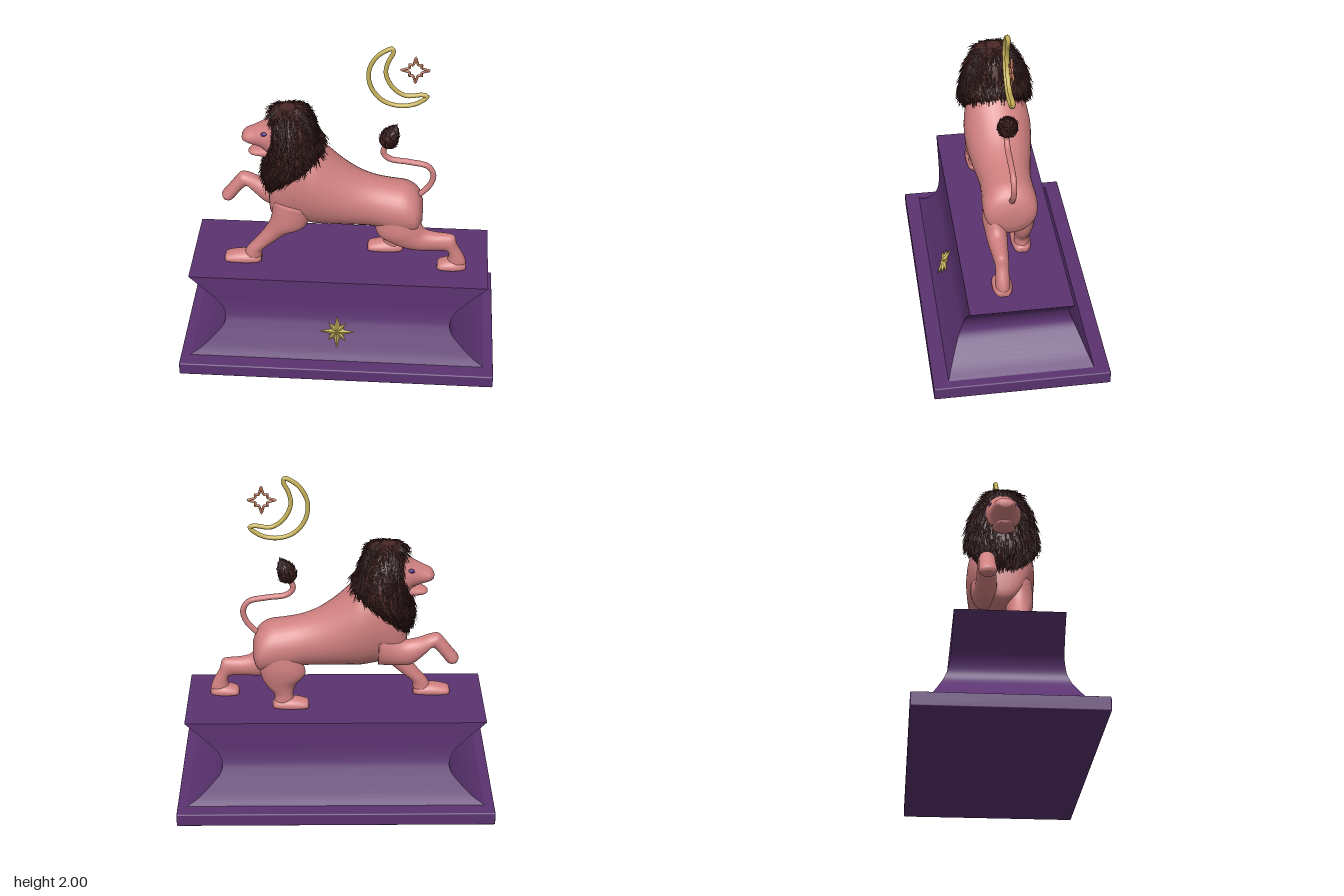
import * as THREE from 'three';
import { mergeGeometries } from 'three/addons/utils/BufferGeometryUtils.js';
import { RoundedBoxGeometry } from 'three/addons/geometries/RoundedBoxGeometry.js';

const material = (name, color) => {
  const m = new THREE.MeshStandardMaterial({ color });
  m.name = name;
  return m;
};
const FLOOR = 0.57; // top of the pedestal

// Surface through rings. Station: [ax, ay, bx, by, z, w], where A and B are the
// two outline points in the side profile, z the ring centre and w its half width.
function surface(stations, power = 1) {
  const a = new THREE.CatmullRomCurve3(stations.map(s => new THREE.Vector3(s[0], s[1], s[4])), false, 'catmullrom', 0.5);
  const b = new THREE.CatmullRomCurve3(stations.map(s => new THREE.Vector3(s[2], s[3], s[5])), false, 'catmullrom', 0.5);
  const bend = v => Math.sign(v) * Math.abs(v) ** power;
  return (u, t) => {
    const p = a.getPoint(u), q = b.getPoint(u), c = bend(Math.cos(t)), s = bend(Math.sin(t));
    return new THREE.Vector3(
      (p.x + q.x) / 2 + (p.x - q.x) / 2 * c,
      Math.max(FLOOR, (p.y + q.y) / 2 + (p.y - q.y) / 2 * c),
      p.z + q.z * s);
  };
}

// Closed smooth solid from a ring surface
function loft(P, rows = 40, sides = 32) {
  const pts = [], index = [];
  for (let i = 0; i <= rows; i++)
    for (let j = 0; j < sides; j++) pts.push(P(i / rows, j / sides * Math.PI * 2));
  const last = rows * sides;
  pts.push(P(0, 0).lerp(P(0, Math.PI), 0.5), P(1, 0).lerp(P(1, Math.PI), 0.5));
  for (let j = 0; j < sides; j++) {
    const k = (j + 1) % sides;
    for (let i = 0; i < rows; i++) {
      const r = i * sides, n = r + sides;
      index.push(r + j, n + j, r + k, r + k, n + j, n + k);
    }
    index.push(pts.length - 2, j, k, pts.length - 1, last + k, last + j);
  }
  let volume = 0;
  for (let i = 0; i < index.length; i += 3)
    volume += pts[index[i]].dot(pts[index[i + 1]].clone().cross(pts[index[i + 2]]));
  if (volume < 0) index.reverse();
  const g = new THREE.BufferGeometry().setFromPoints(pts);
  g.setIndex(index);
  g.computeVertexNormals();
  return g;
}

// Hair: thin cones lying along a ring surface
function hair(P, count, length, width, seed) {
  const random = () => (seed = (seed * 16807) % 2147483647) / 2147483647;
  const up = new THREE.Vector3(0, 1, 0), strands = [];
  for (let i = 0; i < count; i++) {
    const u = random() * 0.95, t = random() * Math.PI * 2, p = P(u, t);
    const out = p.clone().sub(P(u, t + Math.PI)).normalize();
    const dir = P(u + 0.04, t).sub(p).normalize().addScaledVector(out, 0.08 + random() * 0.15);
    dir.x += (random() - 0.5) * 0.35;
    dir.z += (random() - 0.5) * 0.35;
    const len = length * (0.6 + random() * 0.6);
    const g = new THREE.ConeGeometry(width, len, 4, 1, true).translate(0, len * 0.45, 0);
    g.applyQuaternion(new THREE.Quaternion().setFromUnitVectors(up, dir.normalize()));
    strands.push(g.translate(p.x, p.y, p.z));
  }
  return mergeGeometries(strands);
}

// Four curved pedestal sides; profile rows are [y, half x, half z]
function pedestalSides() {
  const curve = new THREE.CatmullRomCurve3([
    [0.88, 0.08, 0.425], [0.81, 0.125, 0.4], [0.73, 0.2, 0.365], [0.68, 0.26, 0.338], [0.67, 0.31, 0.318],
    [0.695, 0.38, 0.304], [0.76, 0.45, 0.3], [0.885, FLOOR, 0.297]].map(p => new THREE.Vector3(...p)));
  const corners = [[-1, 1], [1, 1], [1, -1], [-1, -1]];
  return mergeGeometries(corners.map((c, k) => {
    const d = corners[(k + 1) % 4], g = new THREE.PlaneGeometry(1, 1, 1, 28), pos = g.attributes.position;
    for (let i = 0; i < pos.count; i++) {
      const p = curve.getPoint(pos.getY(i) + 0.5), s = pos.getX(i) < 0 ? c : d;
      pos.setXYZ(i, p.x * s[0], p.y, p.z * s[1]);
    }
    g.computeVertexNormals();
    return g;
  }));
}

export function createModel() {
  const root = new THREE.Group();
  const skin = material('rose coat', 0xd08080), purple = material('purple stone', 0x5a3270);
  const dark = material('dark mane', 0x4a2827), gold = material('gold', 0xc4b058);
  const copper = material('copper', 0xbb7658), eyeMat = material('violet eye', 0x4a2a78);
  const add = (name, geometry, mat, parent = root) => {
    const mesh = new THREE.Mesh(geometry, mat);
    mesh.name = name;
    parent.add(mesh);
    return mesh;
  };

  // Pedestal
  add('baseSlab', new RoundedBoxGeometry(1.875, 0.08, 1.03, 2, 0.008).translate(0, 0.04, 0), purple);
  add('pedestal', pedestalSides(), purple);
  add('pedestalTop', new THREE.PlaneGeometry(1.77, 0.594).rotateX(-Math.PI / 2).translate(0, FLOOR, 0), purple);

  // Lion body, head and legs
  const lion = new THREE.Group();
  lion.name = 'lion';
  root.add(lion);
  const upright = rows => rows.map(([x, top, bottom, w, z = 0]) => [x, top, x, bottom, z, w]);
  const parts = {
    body: upright([[-0.42, 1.03, 0.92, 0.04], [-0.405, 1.12, 0.87, 0.1], [-0.35, 1.3, 0.85, 0.15], [-0.25, 1.42, 0.835, 0.185],
      [-0.15, 1.38, 0.82, 0.198], [-0.08, 1.31, 0.82, 0.193], [0, 1.235, 0.82, 0.18], [0.1, 1.165, 0.82, 0.162],
      [0.2, 1.125, 0.815, 0.15], [0.3, 1.105, 0.79, 0.154], [0.39, 1.09, 0.78, 0.158], [0.455, 1.04, 0.79, 0.14], [0.485, 0.96, 0.86, 0.07]]),
    head: [[-0.22, 1.55, -0.22, 1.25, 0, 0.11], [-0.37, 1.54, -0.37, 1.27, 0, 0.105], [-0.41, 1.515, -0.41, 1.28, 0, 0.097],
      [-0.45, 1.483, -0.45, 1.32, 0, 0.085], [-0.5, 1.455, -0.49, 1.337, 0, 0.07], [-0.55, 1.43, -0.535, 1.352, 0, 0.058],
      [-0.57, 1.403, -0.565, 1.367, 0, 0.035]],
    jaw: [[-0.36, 1.37, -0.36, 1.24, 0, 0.075], [-0.46, 1.328, -0.45, 1.262, 0, 0.06], [-0.515, 1.312, -0.51, 1.27, 0, 0.045],
      [-0.535, 1.296, -0.532, 1.283, 0, 0.022]],
    standingFrontLeg: [[-0.39, 1.02, -0.15, 0.98, 0.09, 0.085], [-0.405, 0.89, -0.2, 0.84, 0.095, 0.08], [-0.445, 0.8, -0.3, 0.785, 0.09, 0.062],
      [-0.5, 0.72, -0.39, 0.71, 0.085, 0.052], [-0.55, 0.66, -0.455, 0.65, 0.085, 0.046], [-0.572, 0.615, -0.468, 0.61, 0.085, 0.046],
      [-0.58, FLOOR, -0.472, FLOOR, 0.085, 0.046]],
    raisedFrontLeg: [[-0.25, 1.1, -0.25, 0.86, -0.1, 0.08], [-0.38, 1.02, -0.38, 0.855, -0.1, 0.065], [-0.47, 1.025, -0.45, 0.865, -0.1, 0.058],
      [-0.55, 1.055, -0.52, 0.93, -0.105, 0.052], [-0.6, 1.06, -0.555, 0.97, -0.105, 0.048], [-0.635, 1.025, -0.58, 0.965, -0.105, 0.046],
      [-0.675, 0.972, -0.62, 0.92, -0.105, 0.048], [-0.718, 0.915, -0.655, 0.876, -0.105, 0.05], [-0.715, 0.885, -0.685, 0.87, -0.105, 0.03]],
    rearHindLeg: [[0.44, 1.0, 0.2, 0.88, 0.07, 0.07], [0.475, 0.88, 0.225, 0.79, 0.085, 0.072], [0.51, 0.825, 0.32, 0.725, 0.085, 0.063],
      [0.57, 0.808, 0.43, 0.69, 0.085, 0.055], [0.635, 0.803, 0.56, 0.69, 0.085, 0.046], [0.678, 0.79, 0.63, 0.685, 0.085, 0.04],
      [0.695, 0.73, 0.648, 0.66, 0.085, 0.038], [0.735, 0.655, 0.642, 0.625, 0.085, 0.04], [0.75, 0.61, 0.635, 0.605, 0.085, 0.042],
      [0.748, FLOOR, 0.63, FLOOR, 0.085, 0.042]],
    forwardHindLeg: [[0.46, 0.98, 0.22, 0.95, -0.07, 0.075], [0.45, 0.85, 0.185, 0.84, -0.082, 0.075], [0.435, 0.765, 0.18, 0.78, -0.082, 0.068],
      [0.405, 0.705, 0.232, 0.715, -0.08, 0.054], [0.365, 0.655, 0.25, 0.665, -0.08, 0.044], [0.362, 0.61, 0.25, 0.62, -0.08, 0.044],
      [0.368, FLOOR, 0.25, FLOOR, -0.08, 0.044]],
  };
  const paw = (x0, x1, z) => upright([[x0, 0.592, 0.56, 0.028, z], [x0 + 0.018, 0.612, 0.55, 0.05, z],
    [(x0 + x1) / 2, 0.63, 0.54, 0.058, z], [x1 - 0.03, 0.62, 0.545, 0.048, z], [x1, 0.6, 0.56, 0.03, z]]);
  parts.standingFrontPaw = paw(-0.69, -0.47, 0.085);
  parts.rearHindPaw = paw(0.58, 0.752, 0.085);
  parts.forwardHindPaw = paw(0.158, 0.372, -0.08);
  for (const [name, rows] of Object.entries(parts)) add(name, loft(surface(rows)), skin, lion);

  // Eyes
  for (const side of [-1, 1]) {
    const eye = add('eye', new THREE.SphereGeometry(1, 16, 10), eyeMat, lion);
    eye.scale.set(0.02, 0.012, 0.009);
    eye.position.set(-0.436, 1.447, side * 0.079);
    eye.rotation.set(-side * 0.35, side * -0.25, 0.15);
  }

  // Mane
  const mane = surface([[-0.35, 1.588, -0.26, 1.588, 0, 0.045], [-0.39, 1.56, -0.195, 1.56, 0, 0.105], [-0.395, 1.48, -0.155, 1.48, 0, 0.163],
    [-0.4, 1.4, -0.13, 1.4, 0, 0.193], [-0.425, 1.3, -0.105, 1.34, 0, 0.206], [-0.455, 1.2, -0.15, 1.26, 0, 0.205],
    [-0.445, 1.11, -0.27, 1.16, 0, 0.155], [-0.41, 1.03, -0.36, 1.06, 0, 0.06]], 0.85);
  add('mane', loft(mane), dark, lion);
  add('maneHair', hair(mane, 3200, 0.085, 0.005, 7), dark, lion);

  // Tail and tuft
  const tail = [[0.43, 1.0], [0.475, 1.035], [0.525, 1.1], [0.538, 1.165], [0.505, 1.22], [0.4, 1.245], [0.285, 1.263], [0.247, 1.3], [0.262, 1.37]];
  add('tail', new THREE.TubeGeometry(new THREE.CatmullRomCurve3(tail.map(p => new THREE.Vector3(...p, 0))), 60, 0.017, 12), skin, lion);
  const tuft = surface([[0.25, 1.345, 0.275, 1.34, 0, 0.015], [0.226, 1.385, 0.318, 1.36, 0, 0.05], [0.236, 1.435, 0.33, 1.41, 0, 0.053],
    [0.272, 1.47, 0.33, 1.45, 0, 0.035], [0.3, 1.485, 0.32, 1.48, 0, 0.01]]);
  add('tailTuft', loft(tuft, 20, 20), dark, lion);
  add('tailTuftHair', hair(tuft, 350, 0.03, 0.004, 11), dark, lion);

  // Crescent moon outline
  const moon = [[0.285, 1.986], [0.205, 1.938], [0.157, 1.84], [0.172, 1.733], [0.24, 1.651], [0.335, 1.622], [0.43, 1.641], [0.487, 1.69],
    [0.46, 1.698], [0.365, 1.69], [0.29, 1.743], [0.252, 1.83], [0.263, 1.9], [0.292, 1.965]];
  add('crescentMoon', new THREE.TubeGeometry(
    new THREE.CatmullRomCurve3(moon.map(p => new THREE.Vector3(...p, 0)), true), 120, 0.013, 10, true), gold);

  // Small star outline: eight points, alternately long and short
  const starPoint = i => {
    const r = i % 2 ? 0.035 : i % 4 ? 0.05 : 0.08, t = i * Math.PI / 8;
    return new THREE.Vector3(0.417 + r * Math.cos(t), 1.855 + r * Math.sin(t), 0);
  };
  const star = new THREE.CurvePath();
  for (let i = 0; i < 16; i++) star.add(new THREE.LineCurve3(starPoint(i), starPoint((i + 1) % 16)));
  add('starOutline', new THREE.TubeGeometry(star, 160, 0.007, 8, true), copper);

  // Faceted star on the pedestal face: tapering four-sided rays
  const emblem = new THREE.Group();
  emblem.name = 'starEmblem';
  emblem.position.set(0, 0.245, 0.35);
  emblem.rotation.x = -0.43;
  root.add(emblem);
  for (let i = 0; i < 16; i++) {
    const length = i % 2 ? 0.05 : i % 4 ? 0.075 : 0.103;
    const ray = new THREE.ConeGeometry(i % 2 ? 0.012 : 0.022, length, 4, 1).toNonIndexed();
    ray.translate(0, length / 2, 0).rotateZ(i * Math.PI / 8);
    ray.computeVertexNormals();
    add('emblemRay', ray, gold, emblem);
  }
  return root;
}
